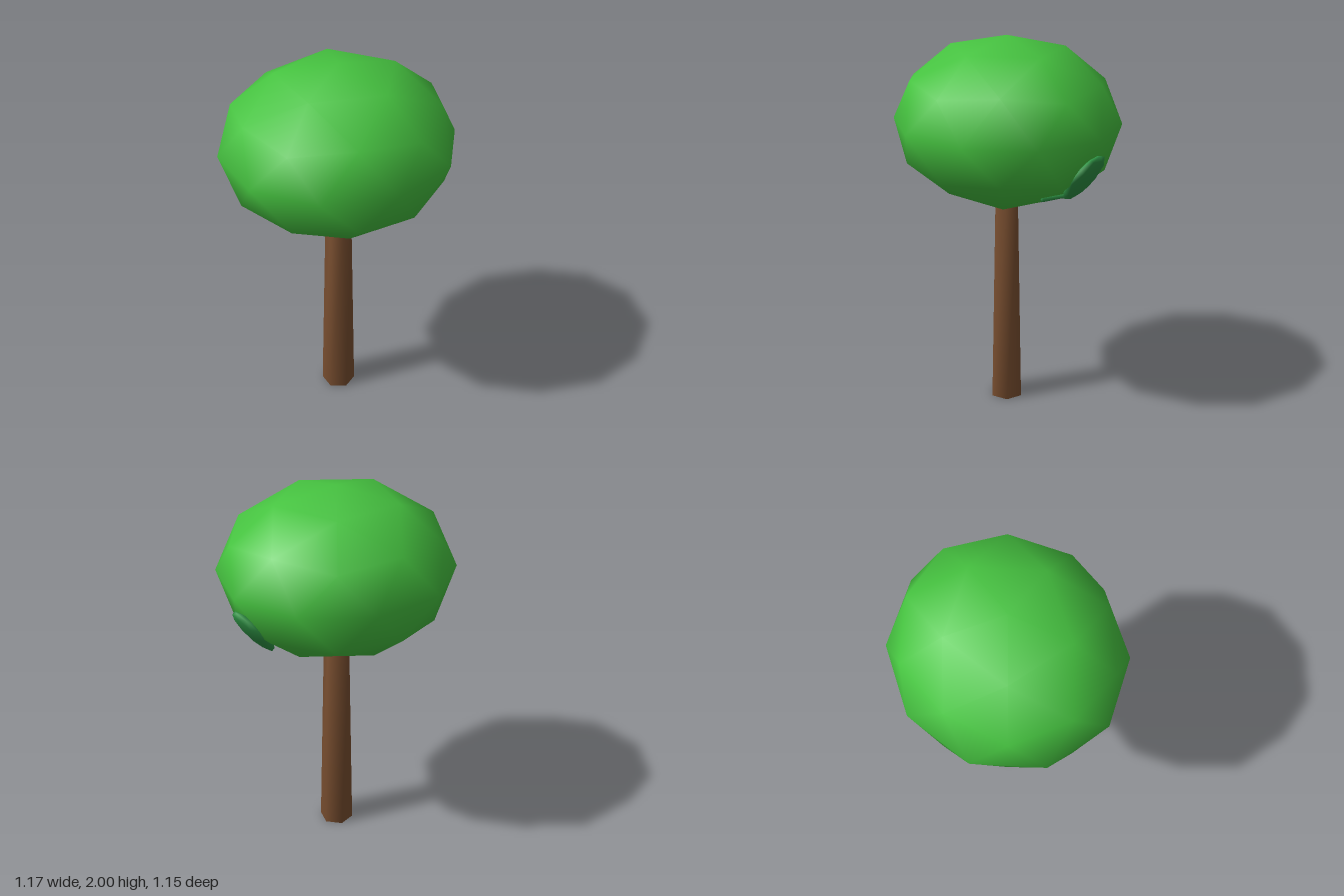
import * as THREE from 'three';
import { mergeVertices } from 'three/addons/utils/BufferGeometryUtils.js';

const material = (name, color) => {
  const m = new THREE.MeshStandardMaterial({ color });
  m.name = name;
  return m;
};

// Smooth 80-sided ball with one vertex at the top, stretched along each axis
function ball(rx, ry, rz) {
  const g = new THREE.IcosahedronGeometry(1, 1);
  g.rotateZ(-Math.atan(2 / (1 + Math.sqrt(5))));
  return g.scale(rx, ry, rz);
}

// Six-sided tapered post whose shading runs smoothly over its ends
function post(topRadius, bottomRadius, height) {
  const g = new THREE.CylinderGeometry(topRadius, bottomRadius, height, 6);
  g.deleteAttribute('normal');
  g.deleteAttribute('uv');
  const merged = mergeVertices(g);
  merged.computeVertexNormals();
  return merged;
}

export function createModel() {
  const tree = new THREE.Group();
  tree.name = 'tree';
  const foliage = material('foliage green', 0x46c340);
  const shade = material('deep leaf green', 0x2f9546);
  const bark = material('bark brown', 0x7a4f30);

  const add = (name, geometry, mat, x, y, z) => {
    const mesh = new THREE.Mesh(geometry, mat);
    mesh.name = name;
    mesh.position.set(x, y, z);
    tree.add(mesh);
    return mesh;
  };

  add('trunk', post(0.067, 0.091, 1.16), bark, 0, 0.58, 0);
  add('crown', ball(0.613, 0.44, 0.577), foliage, 0, 1.56, 0);

  // Flat leaf clump lying on the lower side of the crown
  const leaf = add('leafClump', ball(0.11, 0.16, 0.035), shade, 0.483, 1.357, -0.15);
  leaf.lookAt(0.483 + 0.76, 1.357 - 0.59, -0.15 - 0.26);

  // Short stem at the foot of the leaf clump
  const stem = add('leafStem', post(0.014, 0.014, 0.14), shade, 0.384, 1.247, -0.04);
  stem.rotation.x = Math.PI / 2;

  return tree;
}
